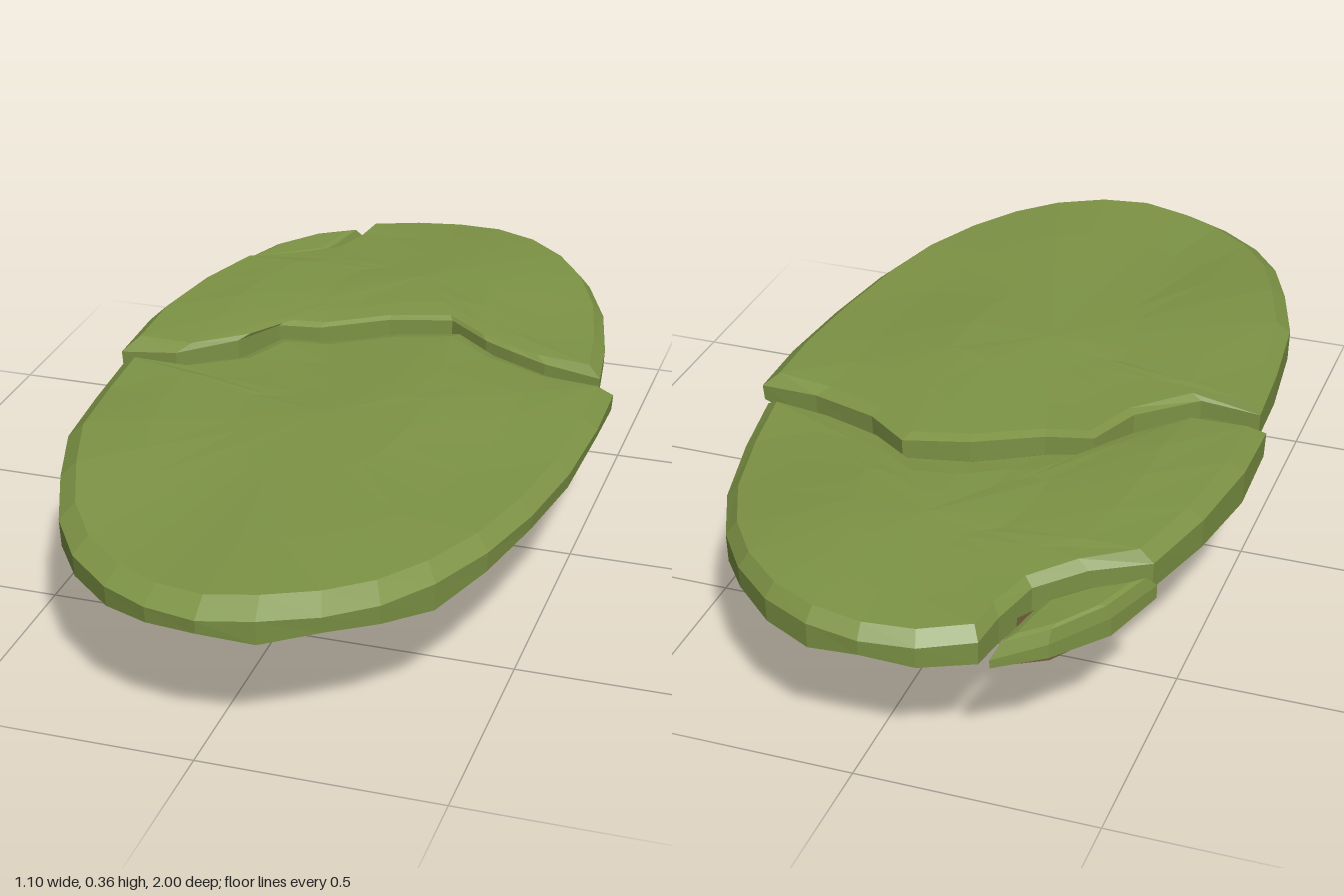
import * as THREE from 'three';

const grassMat = new THREE.MeshStandardMaterial({ color: 0x7d9345, flatShading: true });
const rockMat = new THREE.MeshStandardMaterial({ color: 0x745b3b, flatShading: true });

// Outlines as [x, z]: the crack edge first, then around the rim
const frontOutline = [
  [-0.52, 0.03], [-0.39, 0.03], [-0.27, -0.07], [-0.22, -0.19], [-0.12, -0.21],
  [0.02, -0.29], [0.155, -0.33], [0.255, -0.25], [0.41, -0.19], [0.545, -0.17],
  [0.548, 0], [0.535, 0.21], [0.505, 0.41], [0.46, 0.585], [0.395, 0.73], [0.32, 0.84],
  [0.23, 0.92], [0.12, 0.975], [0.01, 1], [-0.1, 0.975], [-0.2, 0.925], [-0.3, 0.84],
  [-0.375, 0.73], [-0.435, 0.58], [-0.49, 0.41], [-0.51, 0.21],
];
const backOutline = [
  [-0.55, -0.035], [-0.42, -0.035], [-0.31, -0.14], [-0.25, -0.25], [-0.16, -0.275],
  [-0.02, -0.36], [0.12, -0.395], [0.22, -0.32], [0.29, -0.29], [0.37, -0.26], [0.5, -0.24],
  [0.475, -0.41], [0.43, -0.6], [0.365, -0.745], [0.29, -0.85], [0.195, -0.935],
  [0.09, -0.985], [-0.02, -1], [-0.13, -0.985], [-0.235, -0.935],
  [-0.245, -0.85], [-0.275, -0.745], [-0.36, -0.66], [-0.47, -0.59],
  [-0.52, -0.41], [-0.55, -0.21],
];
const chipOutline = [
  [-0.485, -0.615], [-0.385, -0.68], [-0.3, -0.76], [-0.28, -0.84],
  [-0.26, -0.945], [-0.35, -0.87], [-0.435, -0.75],
];

// Smooth repeatable unevenness, about -1 to 1
const wobble = (x, z, k = 0) => Math.sin(x * 11 + k) * 0.55 + Math.sin(z * 8 + x * 5 + k * 2) * 0.45;

// Depth of a hanging spike [x, z, depth, rx, rz, flat half-width x, z]
const spikeDepth = ([sx, sz, d, rx, rz, fx = 0, fz = 0], x, z) => {
  const dx = Math.max(0, Math.abs(x - sx) - fx) / rx;
  const dz = Math.max(0, Math.abs(z - sz) - fz) / rz;
  return d * (1 - Math.hypot(dx, dz));
};

// Underside height: a shallow bowl with spikes hanging from it
function underside(x, z, spikes) {
  const e = Math.hypot(x / 0.45, z / (z > 0 ? 0.92 : 0.78));
  let depth = 0.1 * (1 - e * e) + 0.012 * wobble(x * 2, z * 2, 1);
  for (const s of spikes) depth = Math.max(depth, spikeDepth(s, x, z) + 0.008 * wobble(x * 3, z * 3));
  return THREE.MathUtils.clamp(0.275 - depth, 0, 0.272);
}

// Skin a stack of equal-length rings of [x, y, z]
function loft(rings, material, name) {
  const n = rings[0].length, index = [];
  for (let r = 0; r < rings.length - 1; r++) {
    for (let i = 0; i < n; i++) {
      const j = (i + 1) % n, a = r * n, b = a + n;
      index.push(a + i, b + i, b + j, a + i, b + j, a + j);
    }
  }
  const geo = new THREE.BufferGeometry();
  geo.setAttribute('position', new THREE.Float32BufferAttribute(rings.flat(2), 3));
  geo.setIndex(index);
  const flat = geo.toNonIndexed();
  flat.computeVertexNormals();
  const mesh = new THREE.Mesh(flat, material);
  mesh.name = name;
  return mesh;
}

function makePiece({ name, outline, centre: [cx, cz], crack, spikes, clockwise, inset = 0.94, sink = 0 }) {
  const ring = (pts, s, height) => pts.map(([px, pz]) => {
    const x = cx + (px - cx) * s, z = cz + (pz - cz) * s;
    return [x, height(x, z), z];
  });
  const order = (pts) => (clockwise ? [...pts].reverse() : pts);
  const top = (x, z) => 0.352 - sink + 0.01 * wobble(x, z) - 0.015 * x - 0.03 * Math.max(0, z - 0.5);
  // The lip droops at the outer rim but stays high along the crack
  const rim = (x, z) => top(x, z) - 0.01 - 0.022 * Math.min(1, Math.hypot(x / 0.55, z) ** 4);
  const hem = (x, z) => 0.267 - 0.009 * (1 + 1.6 * x) * Math.cos(21.7 * (x - 0.12)) + 0.008 * Math.cos(z * 12);

  // Turf: gently uneven top, bevelled rim, short skirt, closed underneath
  const edge = order(outline);
  const turf = loft([
    ring(edge, 0, top), ring(edge, 0.35, top), ring(edge, 0.68, top),
    ring(edge, inset, (x, z) => top(x, z) - 0.004), ring(edge, 1, rim),
    ring(edge, 0.995, hem), ring(edge, 0.92, () => 0.28),
  ], grassMat, name + 'Turf');

  // Rock: wall along the crack, then facets running in to the keel
  const coarse = order(outline.filter((p, i) => i < crack || i % 2 === 0));
  const bottom = (x, z) => underside(x, z, spikes);
  const rock = loft([
    ring(coarse, 0.95, () => 0.285), ring(coarse, 0.95, bottom), ring(coarse, 0.75, bottom),
    ring(coarse, 0.5, bottom), ring(coarse, 0, bottom),
  ], rockMat, name + 'Rock');

  const group = new THREE.Group();
  group.name = name;
  group.add(turf, rock);
  return group;
}

export function createModel() {
  const island = new THREE.Group();
  island.name = 'splitIsland';
  island.add(
    makePiece({
      name: 'frontHalf', outline: frontOutline, centre: [0, 0.18], crack: 10, clockwise: true,
      spikes: [[-0.055, -0.12, 0.27, 0.3, 0.95, 0.065, 0.17]],
    }),
    makePiece({
      name: 'backHalf', outline: backOutline, centre: [0, -0.6], crack: 11,
      spikes: [
        [0.28, -0.31, 0.2, 0.14, 0.4], [-0.02, -0.375, 0.25, 0.2, 0.4],
        [-0.26, -0.49, 0.205, 0.22, 0.32], [-0.4, -0.2, 0.13, 0.14, 0.3],
      ],
    }),
    makePiece({
      name: 'brokenChip', outline: chipOutline, centre: [-0.365, -0.78], crack: 7, inset: 0.86, sink: 0.03,
      spikes: [[-0.36, -0.77, 0.03, 0.12, 0.2]],
    }),
  );
  return island;
}
